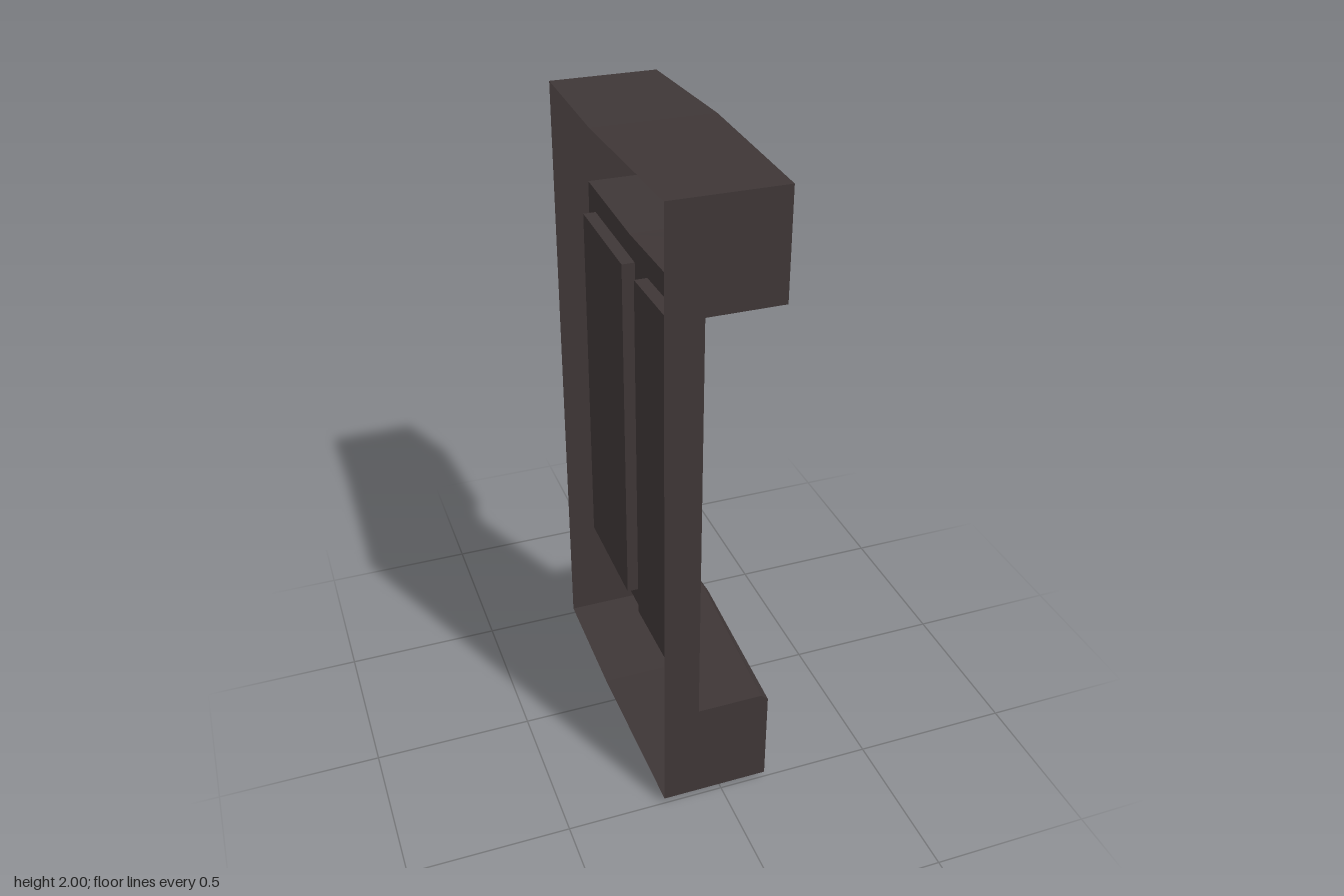
import * as THREE from 'three';

const BACK = -0.19, WALL = -0.08, RECESS = -0.12;

export function createModel() {
  const group = new THREE.Group();
  const stone = new THREE.MeshStandardMaterial({ color: 0x3e3636, side: THREE.DoubleSide });
  stone.name = 'dark stone';
  stone.flatShading = true;

  const add = (name, geometry) => {
    const mesh = new THREE.Mesh(geometry, stone);
    mesh.name = name;
    group.add(mesh);
  };

  // flat-faced surface from convex polygons of [x, y, z] corners
  const surface = (polygons) => {
    const pos = [];
    for (const p of polygons)
      for (let i = 1; i < p.length - 1; i++) pos.push(...p[0], ...p[i], ...p[i + 1]);
    const g = new THREE.BufferGeometry();
    g.setAttribute('position', new THREE.Float32BufferAttribute(pos, 3));
    g.computeVertexNormals();
    return g;
  };

  // C-shaped section at z: front depth f, sag d
  const section = (z, f, d) => [
    [BACK, 2 - d], [f, 2 - d], [f, 1.675 - d], [WALL, 1.675 - d],
    [WALL, 0.35 - d], [f - 0.022, 0.35 - d], [f, 0.33 - 2 * d],
    [f, 0.02 - d * 1.3], [BACK, 0.02 - d * 1.3],
  ].map(([x, y]) => [x, y, z]);
  const near = section(0.5, 0.148, 0);
  const mid = section(-0.1, 0.185, 0.015);
  const far = section(-0.5, 0.145, 0);

  const quads = (a, b, from, to) => {
    const out = [];
    for (let i = from; i < to; i++) out.push([a[i], a[i + 1], b[i + 1], b[i]]);
    return out;
  };

  // upper beam, with a chipped lower edge on the near half
  const [, t0, p0, w0] = near, [, t1, k, w1] = mid;
  const p1 = [0.178, 1.667, 0.34], p2 = [0.185, 1.7, 0.18];
  const p3 = [0.185, 1.705, 0.04], p4 = [0.185, 1.66, -0.05];
  const q2 = [0.1, 1.667, 0.2], q3 = [0.11, 1.663, 0.03];
  add('upperBeam', surface([
    ...quads(near, mid, 0, 1), ...quads(mid, far, 0, 3),
    [t0, p0, p1], [t0, p1, p2], [t0, p2, t1], [t1, p2, p3], [t1, p3, p4], [t1, p4, k],
    [p0, w0, p1], [p1, w0, q2], [q2, w0, w1], [q2, w1, q3], [q3, w1, p4], [p4, w1, k],
  ]));
  add('beamChip', surface([[p1, q2, p2], [p2, q2, q3, p3], [p3, q3, p4]]));

  // lower ledge with bevelled front edge
  add('lowerLedge', surface([...quads(near, mid, 4, 8), ...quads(mid, far, 4, 8)]));

  // end caps
  for (const [name, s, dir] of [['frontEnd', near, 1], ['backEnd', far, -1]]) {
    const shape = new THREE.Shape(s.map(([x, y]) => new THREE.Vector2(x * dir, y)));
    const g = new THREE.ShapeGeometry(shape);
    if (dir < 0) g.rotateY(Math.PI);
    add(name, g.translate(0, 0, s[0][2]));
  }

  // wall with two openings, drawn in (-z, y)
  const wall = new THREE.Shape([near[3], near[4], mid[4], far[4], far[3], mid[3]]
    .map(([, y, z]) => new THREE.Vector2(-z, y)));
  const left = [[-0.43, 0.42], [-0.055, 0.41], [-0.055, 1.59], [-0.43, 1.6]];
  const right = left.map(([u, y]) => [-u, y]).reverse();
  for (const c of [left, right])
    wall.holes.push(new THREE.Path(c.map(([u, y]) => new THREE.Vector2(u, y))));
  add('wall', new THREE.ShapeGeometry(wall).rotateY(Math.PI / 2).translate(WALL, 0, 0));

  // recessed panels with their reveals
  for (const [name, c] of [['frontPanel', left], ['backPanel', right]]) {
    const at = (x, [u, y]) => [x, y, -u];
    const faces = [c.map((p) => at(RECESS, p))];
    c.forEach((a, i) => {
      const b = c[(i + 1) % 4];
      faces.push([at(WALL, a), at(WALL, b), at(RECESS, b), at(RECESS, a)]);
    });
    add(name, surface(faces));
  }
  return group;
}
